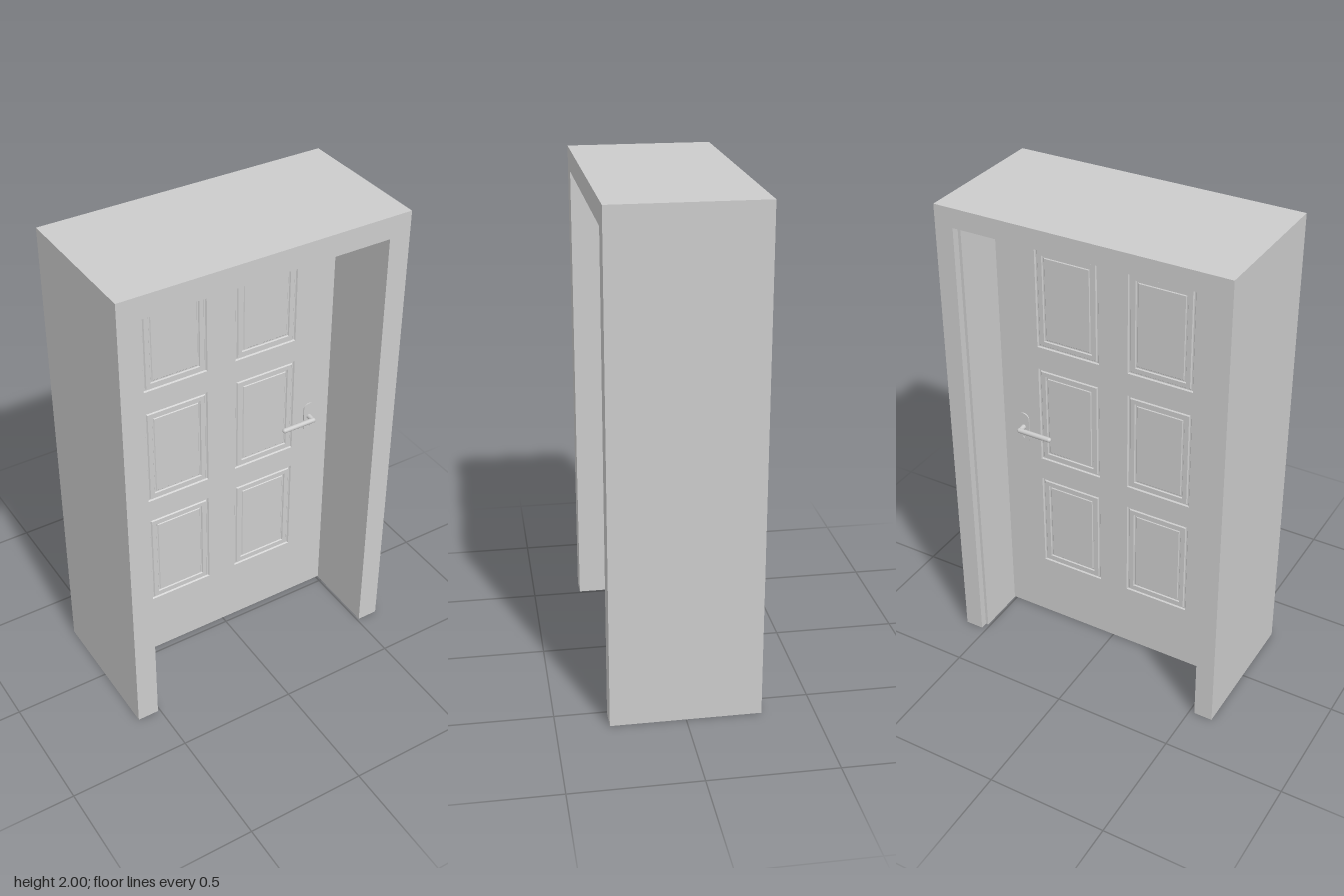
import * as THREE from 'three';

const material = new THREE.MeshStandardMaterial({ color: 0xcccccc });

function add(parent, name, geometry, x = 0, y = 0, z = 0) {
  const mesh = new THREE.Mesh(geometry, material);
  mesh.name = name;
  mesh.position.set(x, y, z);
  parent.add(mesh);
  return mesh;
}

// Upside-down U, open at the floor
function archGeometry(halfWidth, height, innerHalf, innerHeight, depth) {
  const pts = [
    [-halfWidth, 0], [-innerHalf, 0], [-innerHalf, innerHeight], [innerHalf, innerHeight],
    [innerHalf, 0], [halfWidth, 0], [halfWidth, height], [-halfWidth, height],
  ].map(([x, y]) => new THREE.Vector2(x, y));
  return new THREE.ExtrudeGeometry(new THREE.Shape(pts), { depth, bevelEnabled: false });
}

function rectangle(path, x, y, w, h) {
  path.moveTo(x - w / 2, y - h / 2);
  path.lineTo(x + w / 2, y - h / 2);
  path.lineTo(x + w / 2, y + h / 2);
  path.lineTo(x - w / 2, y + h / 2);
  path.closePath();
  return path;
}

// Moulded panel: nested rectangles following [inset, depth] steps, closed by a flat field
function panelGeometry(w, h, profile) {
  const loops = profile.map(([inset, z]) => {
    const a = w / 2 - inset, b = h / 2 - inset;
    return [[-a, -b, z], [a, -b, z], [a, b, z], [-a, b, z]];
  });
  const pos = [];
  const quad = (a, b, c, d) => pos.push(...a, ...b, ...c, ...a, ...c, ...d);
  for (let i = 0; i < loops.length - 1; i++) {
    for (let j = 0; j < 4; j++) {
      const k = (j + 1) % 4;
      quad(loops[i][j], loops[i][k], loops[i + 1][k], loops[i + 1][j]);
    }
  }
  quad(...loops[loops.length - 1]);
  const g = new THREE.BufferGeometry();
  g.setAttribute('position', new THREE.Float32BufferAttribute(pos, 3));
  g.computeVertexNormals();
  return g;
}

// Door handle facing +z; side = direction in which the lever points
function makeHandle(side) {
  const handle = new THREE.Group();
  const w = 0.025, top = 0.04;
  const plate = new THREE.Shape();
  plate.absarc(0, top, w, 0, Math.PI);
  plate.absarc(0, -0.05, w, Math.PI, Math.PI * 2);
  plate.closePath();
  const keyhole = new THREE.Path();
  keyhole.absellipse(0, -0.045, 0.005, 0.009, 0, Math.PI * 2);
  plate.holes.push(keyhole);
  add(handle, 'handlePlate', new THREE.ExtrudeGeometry(plate, { depth: 0.005, bevelEnabled: false, curveSegments: 16 }));
  add(handle, 'handleNeck', new THREE.CylinderGeometry(0.009, 0.011, 0.035, 20), 0, 0, 0.0175).rotation.x = Math.PI / 2;
  add(handle, 'lever', new THREE.CapsuleGeometry(0.0105, 0.139, 6, 16), side * 0.07, 0, 0.037).rotation.z = Math.PI / 2;
  return handle;
}

export function createModel() {
  const model = new THREE.Group();
  model.name = 'door';

  // Deep wall frame, with a shallow rebate around the rear opening
  add(model, 'frame', archGeometry(0.6, 2, 0.51, 1.91, 0.56), 0, 0, -0.265);
  add(model, 'rearRebate', archGeometry(0.6, 2, 0.522, 1.922, 0.03), 0, 0, -0.295);

  // Door leaf with six panel openings
  const leaf = new THREE.Group();
  leaf.name = 'doorLeaf';
  leaf.position.z = -0.038;
  model.add(leaf);
  const half = 0.0125, w = 0.278, h = 0.434;
  const shape = rectangle(new THREE.Shape(), 0, 0.957, 1.02, 1.906);
  const centres = [];
  for (const x of [-0.206, 0.198]) {
    for (const y of [0.507, 1.04, 1.572]) {
      centres.push([x, y]);
      shape.holes.push(rectangle(new THREE.Path(), x, y, w, h));
    }
  }
  add(leaf, 'slab', new THREE.ExtrudeGeometry(shape, { depth: half * 2, bevelEnabled: false }), 0, 0, -half);

  // Moulded panels on both faces
  const panel = panelGeometry(w, h, [
    [0, 0], [0.004, -0.006], [0.009, -0.006], [0.013, -0.001],
    [0.031, -0.001], [0.034, -0.006], [0.039, -0.006], [0.042, -0.003],
  ]);
  for (const [x, y] of centres) {
    add(leaf, 'frontPanel', panel, x, y, half);
    add(leaf, 'backPanel', panel, x, y, -half).rotation.y = Math.PI;
  }

  // Handles on both faces, levers pointing towards the middle of the door
  const front = makeHandle(-1);
  front.name = 'frontHandle';
  front.position.set(0.415, 0.957, half);
  const back = makeHandle(1);
  back.name = 'backHandle';
  back.position.set(0.415, 0.957, -half);
  back.rotation.y = Math.PI;
  leaf.add(front, back);

  return model;
}
